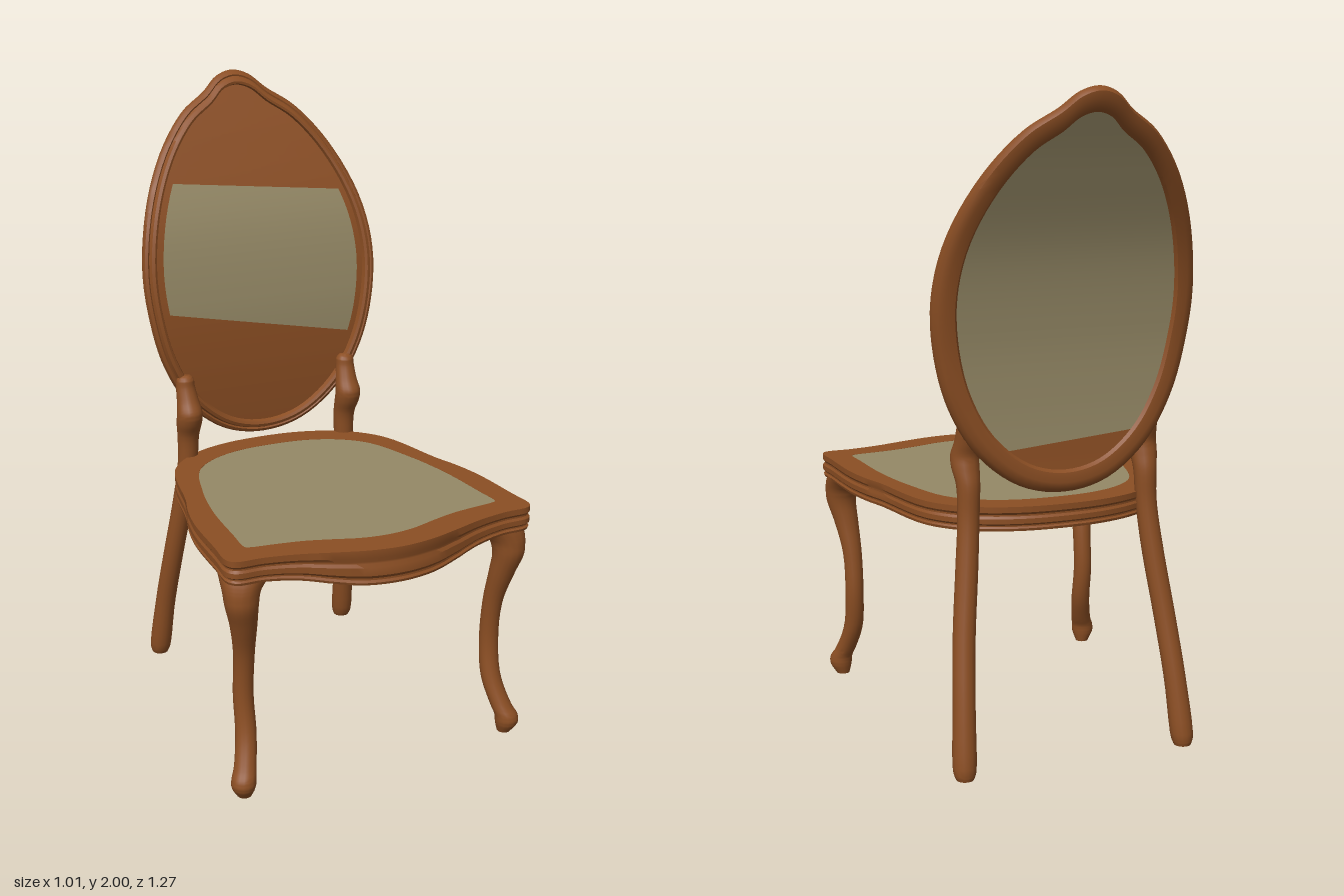
import * as THREE from 'three';
import { toCreasedNormals } from 'three/addons/utils/BufferGeometryUtils.js';

const V = (x, y, z) => new THREE.Vector3(x, y, z);

// Skin a list of equal-length closed loops; 'closed' joins last loop to first.
function loft(loops, closed, crease = 0.7) {
  const n = loops[0].length, pos = [], idx = [];
  loops.forEach(l => l.forEach(p => pos.push(p.x, p.y, p.z)));
  for (let r = 0; r < loops.length - (closed ? 0 : 1); r++) {
    const a = r * n, b = ((r + 1) % loops.length) * n;
    for (let i = 0; i < n; i++) {
      const j = (i + 1) % n;
      idx.push(a + i, b + i, b + j, a + i, b + j, a + j);
    }
  }
  if (!closed) {
    const e = (loops.length - 1) * n;
    for (let i = 1; i < n - 1; i++) idx.push(0, i, i + 1, e, e + i + 1, e + i);
  }
  // turn the faces outward if the signed volume is negative
  let vol = 0;
  const at = i => V(pos[3 * i], pos[3 * i + 1], pos[3 * i + 2]);
  for (let i = 0; i < idx.length; i += 3) vol += at(idx[i]).dot(at(idx[i + 1]).cross(at(idx[i + 2])));
  if (vol < 0) idx.reverse();
  const g = new THREE.BufferGeometry();
  g.setAttribute('position', new THREE.Float32BufferAttribute(pos, 3));
  g.setIndex(idx);
  return toCreasedNormals(g, crease);
}

// Smooth closed outline from the points of its +x half
function outline(half, count) {
  const mirrored = half.slice(1, -1).reverse().map(([x, y]) => [-x, y]);
  const curve = new THREE.CatmullRomCurve3([...half, ...mirrored].map(([x, y]) => V(x, y, 0)), true, 'centripetal');
  return Array.from({ length: count }, (_, i) => curve.getPoint(i / count));
}

// Piecewise smooth interpolation of [key, ...values] rows
function rowsAlong(rows, steps) {
  const a = new THREE.CatmullRomCurve3(rows.map(r => V(r[1], r[0], r[2])), false, 'centripetal');
  const b = new THREE.CatmullRomCurve3(rows.map(r => V(r[3], r[0], 0)), false, 'centripetal');
  return Array.from({ length: steps + 1 }, (_, i) => ({ p: a.getPoint(i / steps), r: b.getPoint(i / steps).x }));
}

// Leg with round horizontal sections from [y, x, z, radius]
function legGeometry(rows) {
  return loft(rowsAlong(rows, rows.length * 4).map(({ p, r }) =>
    Array.from({ length: 16 }, (_, i) => {
      const a = i / 16 * Math.PI * 2;
      return V(p.x + r * Math.cos(a), p.y, p.z + r * Math.sin(a));
    })), false);
}

// Backrest: oval in x and y, bent backwards along y
const MID = 1.41;
const ovalHalf = [[0, 2], [0.055, 1.985], [0.11, 1.94], [0.2, 1.88], [0.3, 1.76], [0.38, 1.59], [0.413, 1.41],
  [0.4, 1.24], [0.355, 1.08], [0.27, 0.94], [0.14, 0.84], [0, 0.81]];
const oval = outline(ovalHalf, 110);
const bendCurve = new THREE.CatmullRomCurve3([[0.78, -0.378], [0.95, -0.365], [1.1, -0.36], [1.29, -0.367],
  [1.53, -0.408], [1.77, -0.502], [2.0, -0.612]].map(([y, z]) => V(0, y, z)));
const bendPts = bendCurve.getPoints(80);
function bend(y) {
  let i = 1;
  while (i < 80 && bendPts[i].y < y) i++;
  const a = bendPts[i - 1], b = bendPts[i];
  return a.z + (b.z - a.z) * (y - a.y) / (b.y - a.y);
}
const inset = (p, d) => ({ x: p.x * (1 - d / 0.413), y: MID + (p.y - MID) * (1 - d / 0.595) });
function halfWidth(y, d) {
  for (let i = 1; i <= 55; i++) {
    const a = inset(oval[i - 1], d), b = inset(oval[i], d);
    if (y <= a.y && y >= b.y) return Math.max(0, a.x + (b.x - a.x) * (a.y - y) / (a.y - b.y || 1));
  }
  return 0;
}

// Bent sheet filling the oval between two lines lo(x) and hi(x)
function sheet(lo, hi, d, dz, back) {
  const g = new THREE.PlaneGeometry(2, 1, 16, 40), p = g.attributes.position;
  for (let i = 0; i < p.count; i++) {
    const u = p.getX(i), v = p.getY(i) + 0.5;
    let x = 0, y = 0;
    for (let k = 0; k < 12; k++) {
      y = lo(x) + (hi(x) - lo(x)) * v;
      x = u * halfWidth(y, d);
    }
    p.setXYZ(i, x, y, bend(y) + dz);
  }
  if (back) g.index.array.reverse();
  g.computeVertexNormals();
  return g;
}

export function createModel() {
  const wood = new THREE.MeshStandardMaterial({ color: 0x8b4e23 });
  wood.name = 'wood';
  const fabric = new THREE.MeshStandardMaterial({ color: 0x958966, side: THREE.DoubleSide });
  fabric.name = 'fabric';
  const model = new THREE.Group();
  const add = (name, geometry, material) => {
    const m = new THREE.Mesh(geometry, material);
    m.name = name;
    model.add(m);
    return m;
  };

  // Moulded oval frame: profile of [inset, depth]
  const frameProfile = [[0.004, -0.012], [0, 0.002], [0.005, 0.014], [0.014, 0.018], [0.019, 0.014], [0.024, 0.026],
    [0.034, 0.029], [0.042, 0.024], [0.047, 0.008], [0.052, -0.012], [0.072, -0.022], [0.064, -0.032], [0.035, -0.034], [0.014, -0.026]];
  add('backrestFrame', loft(frameProfile.map(([d, dz]) => oval.map(o => {
    const q = inset(o, d);
    return V(q.x, q.y, bend(q.y) + dz);
  })), true), wood);

  // Backrest panels and their upholstery
  const low = inset(V(0, 0.81, 0), 0.035).y, high = inset(V(0, 2, 0), 0.035).y;
  const backLine = x => 0.965 - 0.09 * x;
  add('backrestFrontPanel', sheet(() => low, () => high, 0.035, 0.01, false), wood);
  add('backrestFrontFabric', sheet(x => 1.196 - 0.194 * x, x => 1.641 - 0.1 * x, 0.068, 0.014, false), fabric);
  add('backrestRearPanel', sheet(() => low, backLine, 0.035, -0.013, true), wood);
  add('backrestRearFabric', sheet(backLine, () => high, 0.035, -0.013, true), fabric);

  // Seat rim: matching outer and inner outlines in x and z
  const outer = outline([[0, 0.64], [0.1, 0.628], [0.2, 0.598], [0.3, 0.565], [0.4, 0.545], [0.485, 0.539], [0.504, 0.515],
    [0.5, 0.42], [0.49, 0.24], [0.47, 0.13], [0.443, 0.04], [0.38, -0.22], [0.28, -0.33], [0.15, -0.385], [0, -0.4]], 140);
  const inner = outline([[0, 0.545], [0.085, 0.535], [0.17, 0.507], [0.25, 0.483], [0.33, 0.47], [0.412, 0.458], [0.42, 0.45],
    [0.416, 0.36], [0.406, 0.2], [0.39, 0.09], [0.37, 0], [0.31, -0.18], [0.235, -0.255], [0.13, -0.3], [0, -0.312]], 140);
  const rimProfile = [[1, 0.78, 0], [0, 0.78, 0], [0, 0.762, 0.2], [0.06, 0.755, 0.35], [0.06, 0.75, 0.4], [0, 0.743, 0.5],
    [0, 0.728, 0.8], [0.07, 0.722, 0.9], [0.07, 0.718, 0.95], [0.02, 0.713, 1], [0.05, 0.705, 1], [1, 0.71, 0.6]];
  add('seatRim', loft(rimProfile.map(([t, y, f]) => outer.map((o, i) => {
    const drop = 0.038 * THREE.MathUtils.smoothstep(o.y, 0.53, 0.64);
    const q = o.clone().lerp(inner[i], t);
    return V(q.x, y - drop * f, q.y);
  })), true, 0.5), wood);

  // Seat upholstery
  const seat = new THREE.ShapeGeometry(new THREE.Shape(inner.map(p => new THREE.Vector2(p.x, -p.y))));
  seat.rotateX(-Math.PI / 2).translate(0, 0.7795, 0);
  add('seatFabric', seat, fabric);

  // Legs
  const frontLeg = legGeometry([[0, 0.453, 0.503, 0.022], [0.035, 0.458, 0.51, 0.037], [0.06, 0.456, 0.508, 0.037],
    [0.09, 0.445, 0.493, 0.034], [0.18, 0.426, 0.456, 0.032], [0.3, 0.425, 0.437, 0.031], [0.44, 0.426, 0.45, 0.032],
    [0.55, 0.438, 0.478, 0.041], [0.62, 0.449, 0.493, 0.05], [0.66, 0.447, 0.488, 0.056], [0.685, 0.438, 0.476, 0.066],
    [0.712, 0.42, 0.455, 0.083]]);
  const backLeg = legGeometry([[0, 0.357, -0.488, 0.027], [0.02, 0.357, -0.485, 0.034], [0.2, 0.346, -0.452, 0.034],
    [0.4, 0.328, -0.405, 0.034], [0.6, 0.304, -0.365, 0.034], [0.75, 0.29, -0.343, 0.033], [0.85, 0.288, -0.336, 0.036],
    [0.9, 0.29, -0.318, 0.042], [0.935, 0.29, -0.311, 0.042], [0.975, 0.29, -0.327, 0.036], [1.02, 0.292, -0.341, 0.031],
    [1.045, 0.292, -0.343, 0.028], [1.056, 0.292, -0.344, 0.016]]);
  for (const [name, g] of [['FrontLeg', frontLeg], ['BackLeg', backLeg]]) {
    add('left' + name, g, wood);
    // mirrored copy with the winding restored
    const m = g.clone().scale(-1, 1, 1);
    for (const attr of [m.attributes.position, m.attributes.normal]) {
      for (let i = 0; i < attr.count; i += 3) {
        const a = [attr.getX(i), attr.getY(i), attr.getZ(i)];
        attr.setXYZ(i, attr.getX(i + 1), attr.getY(i + 1), attr.getZ(i + 1));
        attr.setXYZ(i + 1, ...a);
      }
    }
    add('right' + name, m, wood);
  }
  return model;
}
